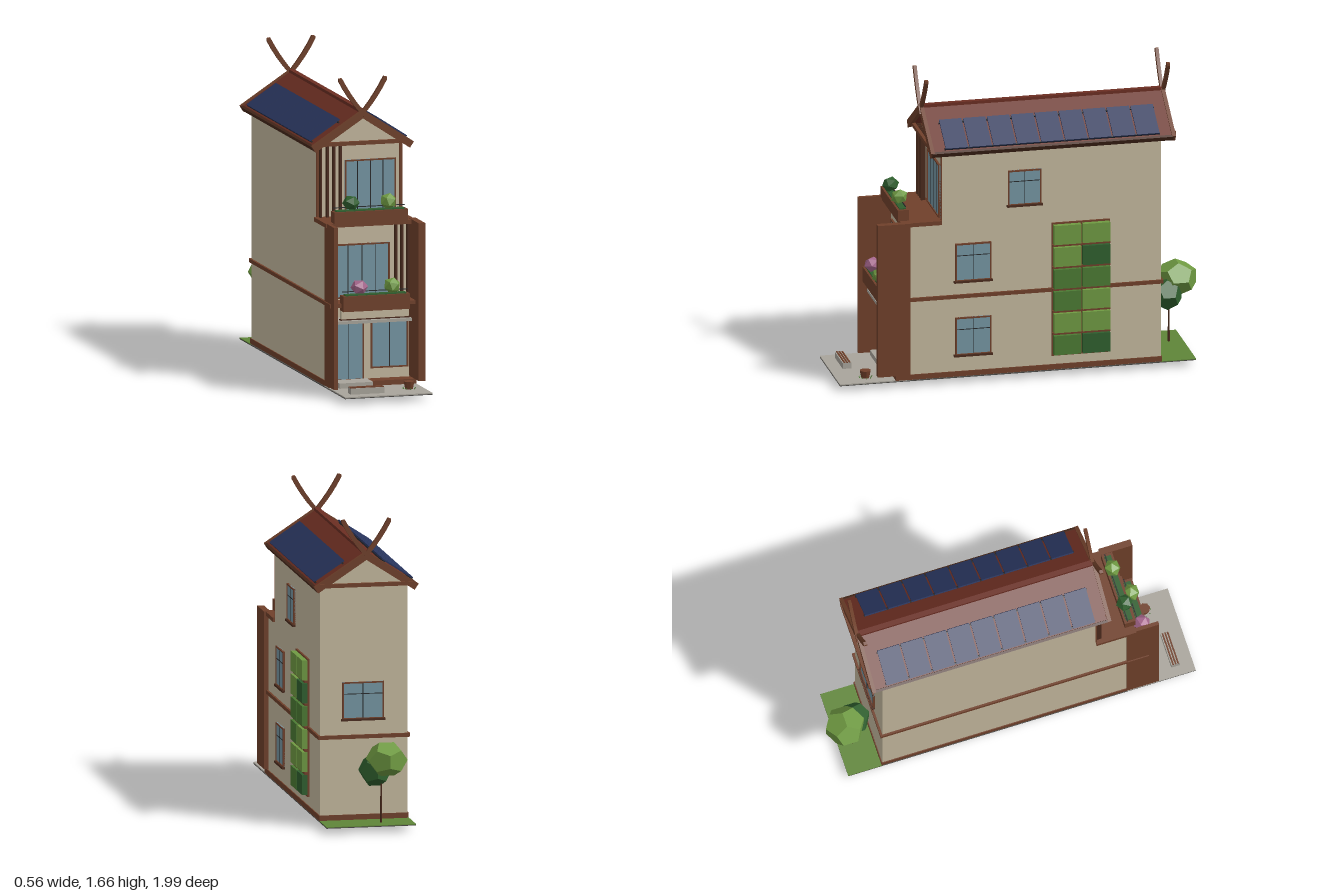
import * as THREE from 'three';

const material = (color) => new THREE.MeshStandardMaterial({ color, flatShading: true });
const M = {
  wall: material(0xc4b89e), wood: material(0x70402a), dark: material(0x4a2a1c), roof: material(0x6b2e22),
  glass: material(0x7596a3), line: material(0x26282a), solar: material(0x28345c), stone: material(0xa8a49b),
  lawn: material(0x5f8538), light: material(0x6f9a42), mid: material(0x4b7a33), deep: material(0x2f5f2e),
  pink: material(0xa5668c), slab: material(0x4a4845),
};

function add(parent, name, geometry, mat, x = 0, y = 0, z = 0) {
  const mesh = new THREE.Mesh(geometry, mat);
  mesh.name = name;
  mesh.position.set(x, y, z);
  parent.add(mesh);
  return mesh;
}

// Box given by its limits on each axis
function box(parent, name, mat, [x0, x1], [y0, y1], [z0, z1]) {
  return add(parent, name, new THREE.BoxGeometry(x1 - x0, y1 - y0, z1 - z0), mat,
    (x0 + x1) / 2, (y0 + y1) / 2, (z0 + z1) / 2);
}

function group(parent, name, x = 0, y = 0, z = 0) {
  const g = new THREE.Group();
  g.name = name;
  g.position.set(x, y, z);
  parent.add(g);
  return g;
}

// Framed pane facing +z, centred on its origin; bars are fractions of the width or height
function glazing(parent, name, w, h, { vertical = [], horizontal = [], sill = false } = {}) {
  const g = group(parent, name);
  const t = 0.008;
  box(g, 'glass', M.glass, [-w / 2, w / 2], [-h / 2, h / 2], [-0.004, 0.005]);
  for (const s of [-1, 1]) {
    const x = s * (w / 2 - t / 2), y = s * (h / 2 - t / 2);
    box(g, 'frameSide', M.wood, [x - t / 2, x + t / 2], [-h / 2, h / 2], [-0.004, 0.01]);
    box(g, 'frameRail', M.wood, [-w / 2, w / 2], [y - t / 2, y + t / 2], [-0.004, 0.01]);
  }
  for (const v of vertical) {
    const x = (v - 0.5) * w;
    box(g, 'mullion', M.line, [x - 0.002, x + 0.002], [-h / 2 + t, h / 2 - t], [0, 0.007]);
  }
  for (const v of horizontal) {
    const y = (v - 0.5) * h;
    box(g, 'transom', M.line, [-w / 2 + t, w / 2 - t], [y - 0.002, y + 0.002], [0, 0.007]);
  }
  if (sill) box(g, 'sill', M.dark, [-w / 2 - 0.006, w / 2 + 0.006], [-h / 2 - 0.007, -h / 2 + 0.004], [-0.004, 0.016]);
  return g;
}

// Trough with two faceted shrubs
function planter(parent, xs, ys, zs, shrubs) {
  const g = group(parent, 'planter');
  box(g, 'trough', M.wood, xs, ys, zs);
  box(g, 'planting', M.deep, [xs[0] + 0.015, xs[1] - 0.015], [ys[1] - 0.01, ys[1] + 0.006], [zs[0] + 0.012, zs[1] - 0.012]);
  for (const [x, mat] of shrubs) {
    const s = add(g, 'shrub', new THREE.IcosahedronGeometry(0.047, 0), mat, x, ys[1] + 0.043, (zs[0] + zs[1]) / 2);
    s.scale.y = 0.88;
    s.rotation.set(0.3, x * 9, 0.2);
  }
}

function buildRoof(house) {
  const roof = group(house, 'roof', 0, 0, -0.14);
  const L = 0.325, half = 0.65;
  for (const side of [0, Math.PI]) {
    const turn = group(roof, 'roofSide');
    turn.rotation.y = side;
    const slope = group(turn, 'slope', 0, 1.475, 0);
    slope.rotation.z = -Math.atan2(0.18, 0.275);
    box(slope, 'roofSheet', M.roof, [0, L], [-0.02, 0], [-half, half]);
    box(slope, 'eaveTrim', M.dark, [L - 0.006, L + 0.008], [-0.025, 0.004], [-half, half]);
    for (const z of [-half, half]) {
      box(slope, 'bargeboard', M.wood, [0, L + 0.006], [-0.032, 0.007], [z - 0.012, z + 0.008]);
    }
    // Solar array
    for (const x of [0.125, 0.3]) box(slope, 'panelRail', M.line, [x, x + 0.008], [0, 0.01], [-0.58, 0.58]);
    for (let i = 0; i < 9; i++) {
      const z = (i - 4) * 0.129;
      box(slope, 'solarPanel', M.solar, [0.115, 0.31], [0.008, 0.016], [z - 0.06, z + 0.06]);
    }
  }
  box(roof, 'ridgeCap', M.roof, [-0.014, 0.014], [1.462, 1.482], [-half, half]);

  // Crossed horns at both ends
  const horn = new THREE.Shape();
  horn.moveTo(-0.035, 1.44);
  horn.lineTo(-0.018, 1.43);
  horn.quadraticCurveTo(0.075, 1.525, 0.133, 1.638);
  horn.lineTo(0.133, 1.652);
  horn.lineTo(0.116, 1.656);
  horn.quadraticCurveTo(0.055, 1.54, -0.035, 1.44);
  const hornGeo = new THREE.ExtrudeGeometry(horn, { depth: 0.018, bevelEnabled: false, curveSegments: 5 });
  hornGeo.translate(0, 0, -0.009);
  for (const z of [-0.652, 0.652]) {
    for (const turn of [0, Math.PI]) {
      add(roof, 'roofHorn', hornGeo, M.wood, 0, 0, z + (turn ? 0.003 : -0.003)).rotation.y = turn;
    }
    box(roof, 'tieBeam', M.wood, [-0.25, 0.25], [1.294, 1.314], [z - 0.016, z + 0.002]);
  }
}

function buildGarden(root) {
  const g = group(root, 'garden');
  box(g, 'groundSlab', M.slab, [-0.242, 0.238], [0.03, 0.034], [-0.92, 1]);
  box(g, 'frontPaving', M.stone, [-0.242, 0.238], [0.034, 0.04], [0.62, 1]);
  box(g, 'lawn', M.lawn, [-0.242, 0.238], [0.034, 0.038], [-0.92, -0.73]);
  // Bench
  box(g, 'bench', M.stone, [-0.19, -0.005], [0.04, 0.072], [0.882, 0.93]);
  for (const z of [0.892, 0.906, 0.92]) box(g, 'benchSlat', M.wood, [-0.19, -0.005], [0.072, 0.076], [z - 0.004, z + 0.004]);
  // Potted grass
  add(g, 'pot', new THREE.CylinderGeometry(0.03, 0.021, 0.042, 8), M.wood, 0.155, 0.06, 0.845);
  for (let i = 0; i < 8; i++) {
    const a = i * Math.PI / 4;
    const blade = add(g, 'grassBlade', new THREE.ConeGeometry(0.003, 0.055, 3), M.mid,
      0.155 + Math.cos(a) * 0.022, 0.024, 0.845 + Math.sin(a) * 0.022);
    blade.rotation.set(Math.sin(a) * 0.5 + Math.PI, 0, Math.cos(a) * 0.5);
  }
  // Tree
  add(g, 'treeTrunk', new THREE.CylinderGeometry(0.004, 0.006, 0.24, 6), M.dark, -0.07, 0.155, -0.842);
  add(g, 'treeCrown', new THREE.DodecahedronGeometry(0.112, 0), M.light, -0.09, 0.385, -0.89).scale.y = 0.85;
  add(g, 'lowerCrown', new THREE.DodecahedronGeometry(0.088, 0), M.deep, -0.04, 0.315, -0.822);
}

export function createModel() {
  const root = new THREE.Group();
  root.name = 'townhouse';
  const house = group(root, 'house');

  // Walls: two full storeys, then a shorter gabled one
  box(house, 'lowerStoreys', M.wall, [-0.235, 0.235], [0.036, 0.9], [-0.73, 0.62]);
  const gable = new THREE.Shape([[-0.235, 0.9], [0.235, 0.9], [0.235, 1.3], [0, 1.455], [-0.235, 1.3]]
    .map(([x, y]) => new THREE.Vector2(x, y)));
  add(house, 'topStorey', new THREE.ExtrudeGeometry(gable, { depth: 1.18, bevelEnabled: false }), M.wall, 0, 0, -0.73);
  box(house, 'baseBand', M.wood, [-0.24, 0.24], [0.038, 0.066], [-0.735, 0.7]);
  box(house, 'floorBand', M.wood, [-0.246, 0.246], [0.472, 0.492], [-0.742, 0.64]);

  // Front surround and terrace
  box(house, 'rightFin', M.wood, [-0.242, -0.222], [0.045, 0.91], [0.62, 0.798]);
  box(house, 'leftFin', M.wood, [0.222, 0.258], [0.07, 0.912], [0.625, 0.8]);
  box(house, 'terraceFloor', M.wood, [-0.248, 0.246], [0.888, 0.91], [0.451, 0.67]);
  for (const s of [-1, 1]) box(house, 'terracePost', M.wood, [s * 0.228 - 0.008, s * 0.228 + 0.008], [0.91, 1.29], [0.449, 0.455]);

  // Balcony, canopy and blank panel
  box(house, 'balconyFloor', M.wood, [-0.248, 0.222], [0.472, 0.492], [0.62, 0.74]);
  box(house, 'canopy', M.stone, [-0.22, 0.2], [0.384, 0.4], [0.62, 0.75]);
  box(house, 'fasciaPanel', M.wall, [-0.18, 0.19], [0.404, 0.455], [0.7, 0.722]);
  box(house, 'fasciaTrim', M.dark, [-0.185, 0.195], [0.4, 0.406], [0.7, 0.726]);
  planter(house, [-0.185, 0.18], [0.455, 0.537], [0.72, 0.782], [[-0.09, M.pink], [0.09, M.light]]);
  planter(house, [-0.205, 0.2], [0.91, 0.97], [0.62, 0.68], [[-0.105, M.deep], [0.1, M.light]]);
  box(house, 'balconyRail', M.line, [-0.18, 0.18], [0.553, 0.557], [0.735, 0.74]);
  box(house, 'terraceRail', M.line, [-0.2, 0.195], [0.986, 0.99], [0.635, 0.64]);

  // Timber screens
  for (const x of [-0.218, -0.182, -0.146, -0.11]) box(house, 'terraceSlat', M.dark, [x - 0.005, x + 0.005], [0.91, 1.3], [0.46, 0.485]);
  for (const x of [0.142, 0.175, 0.208]) box(house, 'balconySlat', M.dark, [x - 0.005, x + 0.005], [0.492, 0.89], [0.635, 0.66]);

  // Front doors and windows
  const front = [
    ['frontDoor', -0.11, 0.218, 0.165, 0.315, 0.621, [0.5]],
    ['shopWindow', 0.113, 0.258, 0.205, 0.275, 0.621, [0.5]],
    ['balconyDoors', -0.038, 0.645, 0.305, 0.29, 0.621, [0.25, 0.5, 0.75]],
    ['terraceDoors', 0.06, 1.06, 0.28, 0.295, 0.451, [0.25, 0.5, 0.75]],
  ];
  for (const [name, x, y, w, h, z, vertical] of front) {
    glazing(house, name, w, h, { vertical }).position.set(x, y, z);
  }
  box(house, 'doorStep', M.stone, [-0.195, -0.01], [0.04, 0.068], [0.62, 0.74]);

  // Side and rear windows
  const cross = { vertical: [0.5], horizontal: [0.68], sill: true };
  for (const [y, z, w, h] of [[0.26, 0.283, 0.195, 0.21], [0.67, 0.283, 0.195, 0.21], [1.063, 0.005, 0.18, 0.195]]) {
    const win = glazing(house, 'sideWindow', w, h, cross);
    win.position.set(0.236, y, z);
    win.rotation.y = Math.PI / 2;
  }
  const rear = glazing(house, 'rearWindow', 0.225, 0.2, cross);
  rear.position.set(0.005, 0.675, -0.731);
  rear.rotation.y = Math.PI;

  // Green wall: two columns of six planted trays
  const green = group(house, 'greenWall');
  const shades = ['mid', 'light', 'mid', 'mid', 'light', 'light', 'deep', 'light', 'light', 'mid', 'deep', 'light'];
  box(green, 'backing', M.wood, [0.235, 0.245], [0.115, 0.853], [-0.453, -0.14]);
  for (let i = 0; i < 12; i++) {
    const y = 0.12 + (i % 6) * 0.1225, z = i < 6 ? -0.147 : -0.303;
    box(green, 'plantTray', M[shades[i]], [0.24, 0.273], [y + 0.006, y + 0.112], [z - 0.146, z]);
  }
  for (let r = 1; r < 6; r++) {
    const y = 0.12 + r * 0.1225 - 0.002;
    box(green, 'trayRail', M.wood, [0.24, 0.26], [y - 0.006, y + 0.006], [-0.453, -0.14]);
  }

  buildRoof(house);
  buildGarden(root);
  return root;
}
